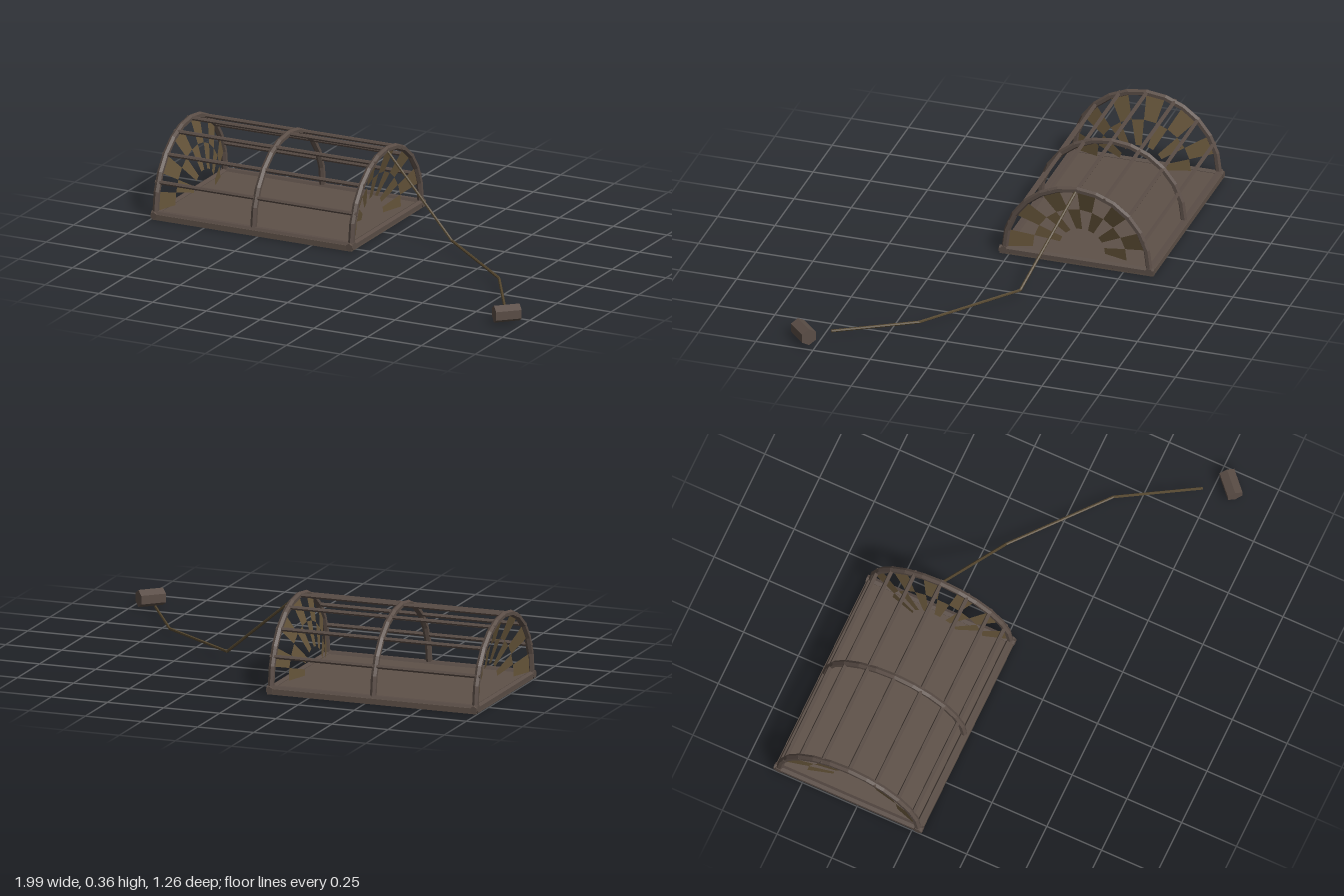
import * as THREE from 'three';

const mat = (name, color, extra = {}) => new THREE.MeshStandardMaterial({ name, color, flatShading: true, ...extra });

export function createModel() {
  const wood = mat('weatheredWood', 0x5a4d46);
  const floorWood = mat('floorWood', 0x5e5148);
  const net = mat('net', 0x66553a, { side: THREE.DoubleSide });
  const rope = mat('rope', 0x55472f);

  const model = new THREE.Group();
  const cage = new THREE.Group();
  cage.name = 'cage';
  cage.position.set(-0.53, 0, -0.295);
  model.add(cage);

  const add = (parent, name, geometry, material) => {
    const mesh = new THREE.Mesh(geometry, material);
    mesh.name = name;
    parent.add(mesh);
    return mesh;
  };

  // Straight six-sided bar between two points
  const bar = (parent, name, a, b, radius, material) => {
    const from = new THREE.Vector3(...a), to = new THREE.Vector3(...b);
    const dir = to.clone().sub(from);
    const mesh = add(parent, name, new THREE.CylinderGeometry(radius, radius, dir.length(), 6), material);
    mesh.position.copy(from).add(to).multiplyScalar(0.5);
    mesh.quaternion.setFromUnitVectors(new THREE.Vector3(0, 1, 0), dir.normalize());
    return mesh;
  };

  const baseY = 0.035, archR = 0.315, endX = 0.455;

  // Floor and base rails
  add(cage, 'floor', new THREE.BoxGeometry(0.93, 0.024, 0.67), floorWood).position.y = 0.016;
  for (const s of [-1, 1]) {
    bar(cage, 'longRail', [-0.47, 0.023, s * 0.317], [0.47, 0.023, s * 0.317], 0.018, wood);
    bar(cage, 'endRail', [s * endX, 0.022, -0.338], [s * endX, 0.022, 0.338], 0.016, wood);
  }

  // Three hoops
  for (const x of [-endX, 0, endX]) {
    const hoop = add(cage, 'hoop', new THREE.TorusGeometry(archR, 0.014, 6, 12, Math.PI), wood);
    hoop.rotation.y = Math.PI / 2;
    hoop.position.set(x, baseY, 0);
  }

  // Lengthwise slats over the hoops
  for (let i = 1; i < 8; i++) {
    const a = (i * Math.PI) / 8;
    const y = baseY + archR * Math.sin(a), z = archR * Math.cos(a);
    bar(cage, 'slat', [-0.468, y, z], [0.468, y, z], 0.009, wood);
  }

  // Funnel nets: two rings of alternating open and filled cells
  const radii = [0.305, 0.205, 0.1], depths = [0.452, 0.42, 0.39];
  for (const s of [-1, 1]) {
    const pos = [], index = [];
    for (let ring = 0; ring < 2; ring++) {
      for (let k = ring; k < 12; k += 2) {
        const n = pos.length / 3;
        for (const [r, c] of [[ring, k], [ring, k + 1], [ring + 1, k + 1], [ring + 1, k]]) {
          const a = (c * Math.PI) / 12;
          pos.push(s * depths[r], baseY + radii[r] * Math.sin(a), radii[r] * Math.cos(a));
        }
        index.push(...(s > 0 ? [n, n + 2, n + 1, n, n + 3, n + 2] : [n, n + 1, n + 2, n, n + 2, n + 3]));
      }
    }
    const g = new THREE.BufferGeometry();
    g.setAttribute('position', new THREE.Float32BufferAttribute(pos, 3));
    g.setIndex(index);
    g.computeVertexNormals();
    add(cage, 'funnelNet', g, net);
  }

  // Rope from the top of the end hoop
  const path = [[-0.07, 0.348, -0.293], [0.295, 0.045, -0.17], [0.675, 0.033, 0.145], [0.865, 0.033, 0.465]];
  for (let i = 0; i < 3; i++) bar(model, 'rope', path[i], path[i + 1], 0.006, rope);

  // Buoy lying on its side
  const buoyGeo = new THREE.CylinderGeometry(0.037, 0.037, 0.11, 6);
  buoyGeo.rotateX(Math.PI / 2);
  const buoy = add(model, 'buoy', buoyGeo, wood);
  buoy.position.set(0.926, 0.044, 0.566);
  buoy.rotation.y = Math.atan2(0.08, -0.075);

  return model;
}
